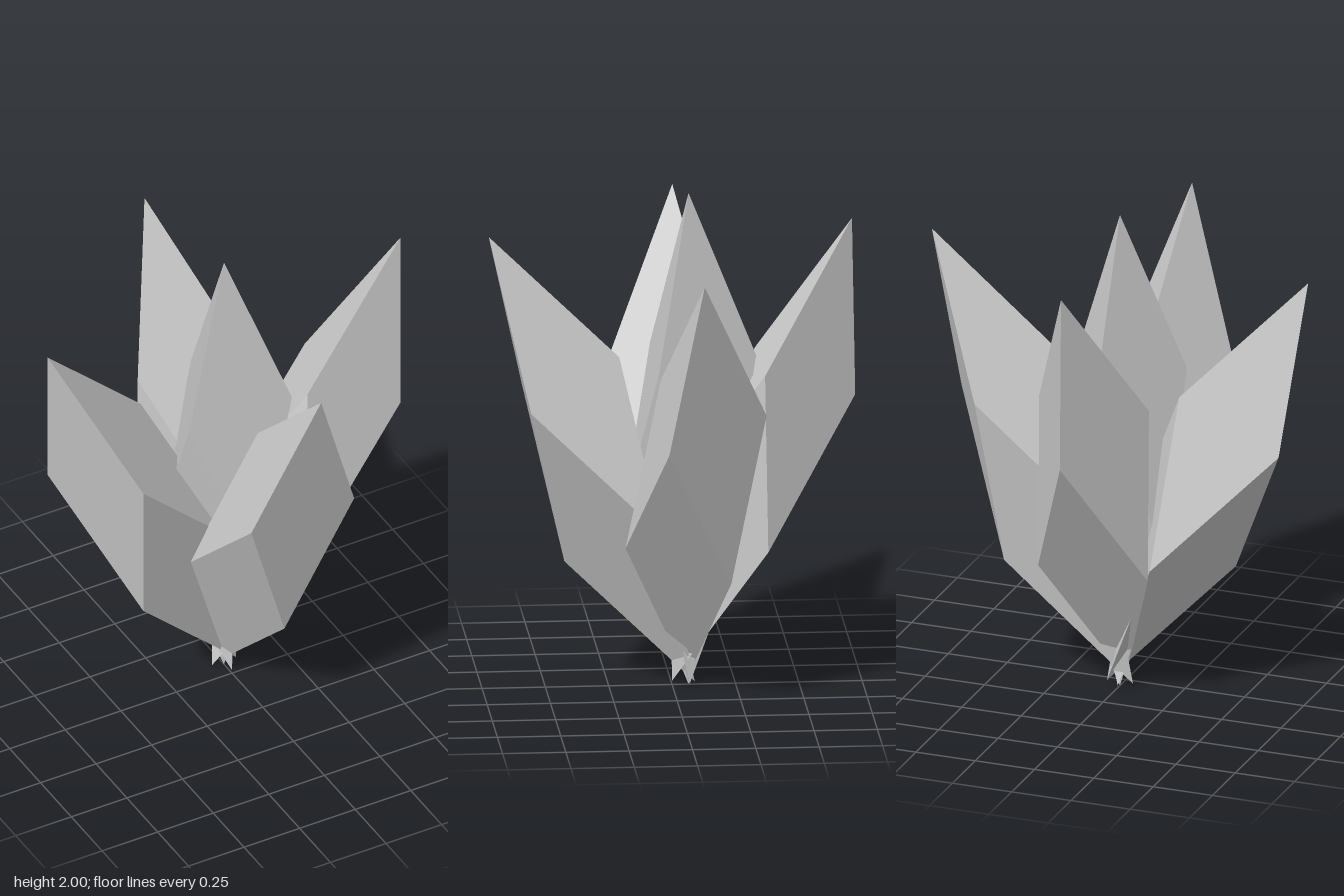
import * as THREE from 'three';

const LENGTH = 2, RADIUS = 0.267;

// A leaf is a cube stretched along its diagonal: base point at the origin, tip at the top
function leafGeometry() {
  const edges = [0, 1, 2].map((i) => {
    const a = (i * Math.PI * 2) / 3;
    return new THREE.Vector3(Math.sin(a) * RADIUS, LENGTH / 3, Math.cos(a) * RADIUS);
  });
  return new THREE.BoxGeometry(1, 1, 1)
    .translate(0.5, 0.5, 0.5)
    .applyMatrix4(new THREE.Matrix4().makeBasis(...edges));
}

export function createModel() {
  const group = new THREE.Group();
  group.name = 'leafCluster';
  const geometry = leafGeometry();
  const material = new THREE.MeshStandardMaterial({ color: 0xcccccc, flatShading: true });

  // Each leaf: base position, tilt about x, turn about its own axis, tilt about z (degrees)
  const leaves = [
    { name: 'centreLeaf', base: [0, 0, -0.065], tilt: [0, 0, 0] },
    { name: 'frontLeaf', base: [0, 0.01, -0.09], tilt: [24, 0, 0] },
    { name: 'backLeaf', base: [0, 0.015, 0], tilt: [-20.8, 0, 0] },
    { name: 'leftLeaf', base: [-0.055, 0.015, -0.065], tilt: [0, 0, -25.1] },
    { name: 'rightLeaf', base: [0.055, 0.015, -0.065], tilt: [0, 180, 25.1] },
  ];
  for (const { name, base, tilt } of leaves) {
    const leaf = new THREE.Mesh(geometry, material);
    leaf.name = name;
    leaf.position.set(...base);
    leaf.rotation.set(...tilt.map(THREE.MathUtils.degToRad), 'ZYX');
    group.add(leaf);
  }
  return group;
}
